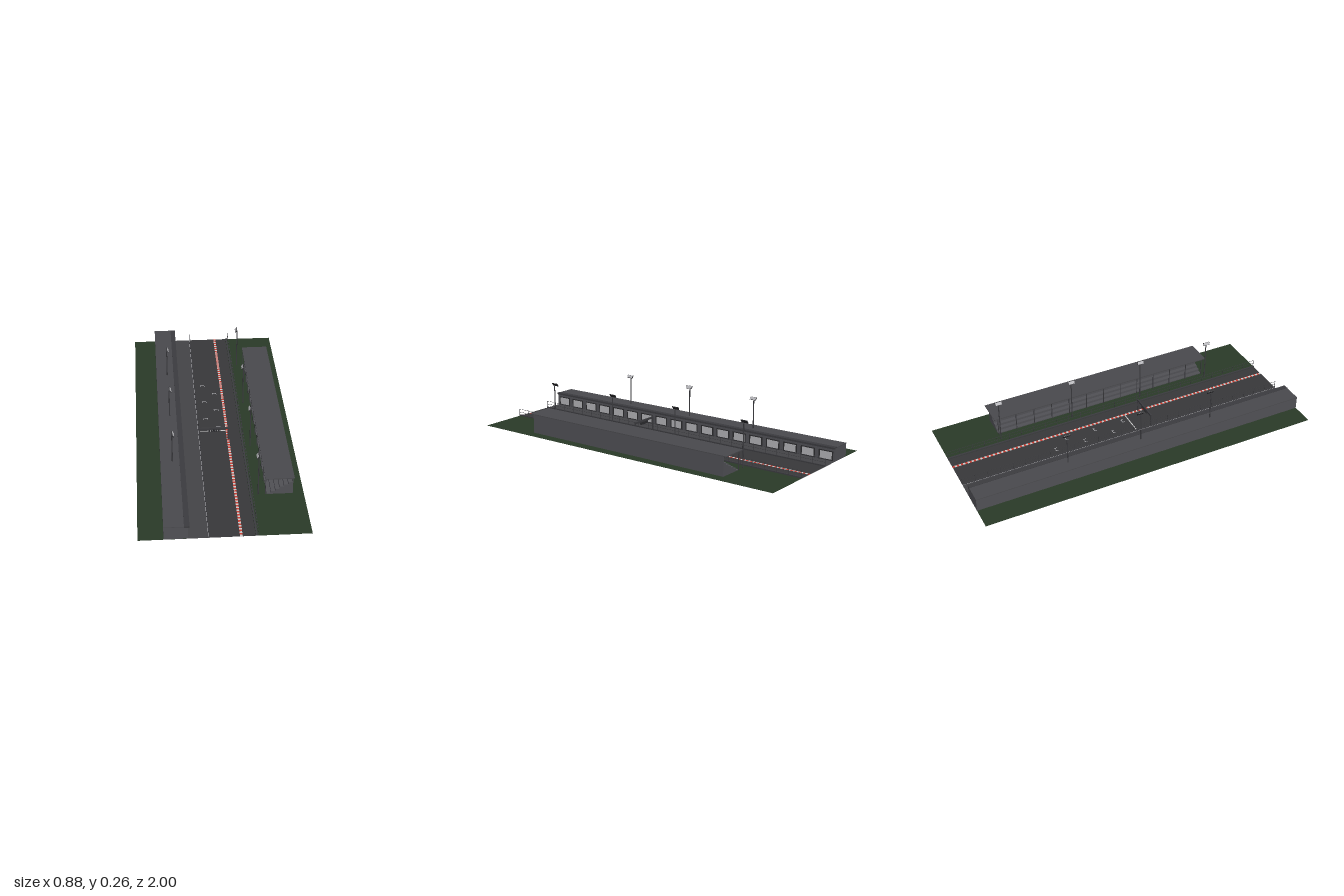
import * as THREE from 'three';
import { mergeGeometries } from 'three/addons/utils/BufferGeometryUtils.js';

const COLORS = {
  grass: 0x2a3a28, asphalt: 0x38383a, lane: 0x444447, wall: 0x515156, roof: 0x4a4a4e,
  steel: 0x3c3c40, dark: 0x2c2c2f, pale: 0xb4b4b8, white: 0xe4e4e4, red: 0xc83a30,
};
const materials = {};
for (const key in COLORS) {
  materials[key] = new THREE.MeshStandardMaterial({ color: COLORS[key], side: THREE.DoubleSide });
}

// Box given by its limits on each axis
function box(x0, x1, y0, y1, z0, z1) {
  return new THREE.BoxGeometry(x1 - x0, y1 - y0, z1 - z0)
    .translate((x0 + x1) / 2, (y0 + y1) / 2, (z0 + z1) / 2);
}

function add(parent, name, color, ...geometries) {
  const geometry = geometries.length > 1 ? mergeGeometries(geometries) : geometries[0];
  const mesh = new THREE.Mesh(geometry, materials[color]);
  mesh.name = name;
  parent.add(mesh);
  return mesh;
}

function group(parent, name) {
  const g = new THREE.Group();
  g.name = name;
  parent.add(g);
  return g;
}

function buildGround(root) {
  const g = group(root, 'ground');
  const strip = (name, color, x0, x1) => add(g, name, color, box(x0, x1, 0, 0.001, -1, 1));
  strip('grassRight', 'grass', -0.44, -0.19);
  strip('pitLane', 'lane', -0.19, -0.086);
  strip('pitLine', 'pale', -0.086, -0.084);
  strip('track', 'asphalt', -0.084, 0.073);
  strip('runOff', 'asphalt', 0.087, 0.152);
  strip('grassLeft', 'grass', 0.152, 0.44);

  // Kerb of alternating blocks
  const blocks = [[], []];
  const count = 160, step = 2 / count;
  for (let i = 0; i < count; i++) {
    const z = -1 + i * step;
    blocks[i % 2].push(box(0.073, 0.087, 0, 0.002, z, z + step));
  }
  add(g, 'kerbRed', 'red', ...blocks[0]);
  add(g, 'kerbWhite', 'white', ...blocks[1]);

  // Start line and staggered grid slots
  add(g, 'startLine', 'white', box(-0.08, 0.073, 0.001, 0.0015, 0.058, 0.064));
  const marks = [];
  for (let i = 0; i < 6; i++) {
    const x = i % 2 ? -0.033 : 0.033;
    const z = 0.02 - i * 0.09;
    marks.push(box(x - 0.012, x + 0.012, 0.001, 0.0015, z - 0.002, z + 0.002));
    for (const s of [-1, 1]) {
      marks.push(box(x + s * 0.012 - 0.0015, x + s * 0.012 + 0.0015, 0.001, 0.0015, z, z + 0.014));
    }
  }
  add(g, 'gridSlots', 'pale', ...marks);
}

function buildPitBuilding(root) {
  const g = group(root, 'pitBuilding');
  add(g, 'pitWalls', 'wall', box(-0.31, -0.188, 0, 0.074, -1, 1));
  add(g, 'pitRoof', 'roof', box(-0.31, -0.188, 0.074, 0.078, -1, 1));
  add(g, 'pitCanopy', 'steel', box(-0.207, -0.179, 0.07, 0.08, -1, 1));
  // Garage doors with a dark frame
  const doors = [], frames = [];
  const count = 18;
  for (let i = 0; i < count; i++) {
    const z = -1 + (i + 0.5) * 2 / count;
    frames.push(box(-0.189, -0.1875, 0.002, 0.056, z - 0.044, z + 0.044));
    doors.push(box(-0.188, -0.187, 0.008, 0.05, z - 0.036, z + 0.036));
  }
  add(g, 'garageFrames', 'dark', ...frames);
  add(g, 'garageDoors', 'pale', ...doors);
}

function buildGrandstand(root) {
  const g = group(root, 'grandstand');
  const half = 0.667;
  // Stepped seating extruded along the track
  const profile = new THREE.Shape();
  profile.moveTo(0.243, 0);
  const steps = 6, run = 0.0227, rise = 0.0133;
  for (let i = 0; i < steps; i++) {
    const y = 0.006 + i * rise;
    profile.lineTo(0.243 + i * run, y);
    profile.lineTo(0.243 + (i + 1) * run, y);
  }
  profile.lineTo(0.243 + steps * run, 0);
  const seating = new THREE.ExtrudeGeometry(profile, { depth: 2 * half, bevelEnabled: false })
    .translate(0, 0, -half);
  add(g, 'steppedSeating', 'wall', seating);
  add(g, 'backWall', 'wall', box(0.378, 0.382, 0, 0.111, -half, half));
  add(g, 'standRoof', 'roof', box(0.232, 0.386, 0.11, 0.115, -0.687, 0.687));
  const columns = [];
  for (let i = 0; i <= 12; i++) {
    const z = -half + 0.002 + i * (2 * half - 0.004) / 12;
    columns.push(box(0.235, 0.239, 0, 0.11, z - 0.002, z + 0.002));
  }
  add(g, 'standColumns', 'steel', ...columns);
}

function buildGantry(root) {
  const g = group(root, 'startGantry');
  const z = 0.15;
  for (const s of [-1, 1]) {
    const x = s * 0.081;
    add(g, 'gantryLeg', 'steel', box(x - 0.003, x + 0.003, 0, 0.075, z - 0.003, z + 0.003));
  }
  add(g, 'gantryBeam', 'steel', box(-0.085, 0.085, 0.073, 0.084, z - 0.004, z + 0.004));
  for (let i = -2; i <= 2; i++) {
    const x = i * 0.0133;
    add(g, 'startLight', 'dark', box(x - 0.004, x + 0.004, 0.058, 0.073, z - 0.004, z + 0.004));
  }
}

// Low barrier with a post-and-rail fence
function buildFence(root, name, x, barrierX0, barrierX1) {
  const g = group(root, name);
  add(g, 'barrier', 'steel', box(barrierX0, barrierX1, 0, 0.008, -1, 1));
  const bars = [];
  const count = 27;
  for (let i = 0; i <= count; i++) {
    const z = -0.999 + i * 1.998 / count;
    bars.push(box(x - 0.001, x + 0.001, 0, 0.045, z - 0.001, z + 0.001));
  }
  for (const y of [0.025, 0.044]) {
    bars.push(box(x - 0.0007, x + 0.0007, y - 0.0007, y + 0.0007, -1, 1));
  }
  add(g, 'postsAndRails', 'steel', ...bars);
}

// Floodlight mast; inward is +1 or -1 toward the track
function buildFloodlight(root, x, y, z, inward) {
  const g = group(root, 'floodlight');
  const top = 0.245;
  const mast = new THREE.CylinderGeometry(0.003, 0.0035, top - y, 8).translate(x, (top + y) / 2, z);
  add(g, 'mast', 'steel', mast);
  const head = group(g, 'lampHead');
  head.position.set(x + inward * 0.006, 0.253, z);
  head.rotation.z = inward * 0.6;
  add(head, 'lampCase', 'dark', box(-0.002, 0.002, -0.009, 0.009, -0.02, 0.02));
  const face = inward * 0.0022;
  add(head, 'lampPane', 'pale', box(face - 0.0005, face + 0.0005, -0.008, 0.008, -0.018, 0.018));
}

export function createModel() {
  const root = new THREE.Group();
  root.name = 'raceTrackStraight';
  buildGround(root);
  buildPitBuilding(root);
  buildGrandstand(root);
  buildGantry(root);
  buildFence(root, 'pitWallFence', -0.082, -0.084, -0.079);
  buildFence(root, 'standFence', 0.165, 0.153, 0.162);
  for (const z of [-0.445, 0, 0.445]) buildFloodlight(root, -0.245, 0.078, z, 1);
  for (const z of [-0.667, -0.222, 0.222, 0.667]) buildFloodlight(root, 0.198, 0, z, -1);
  return root;
}
